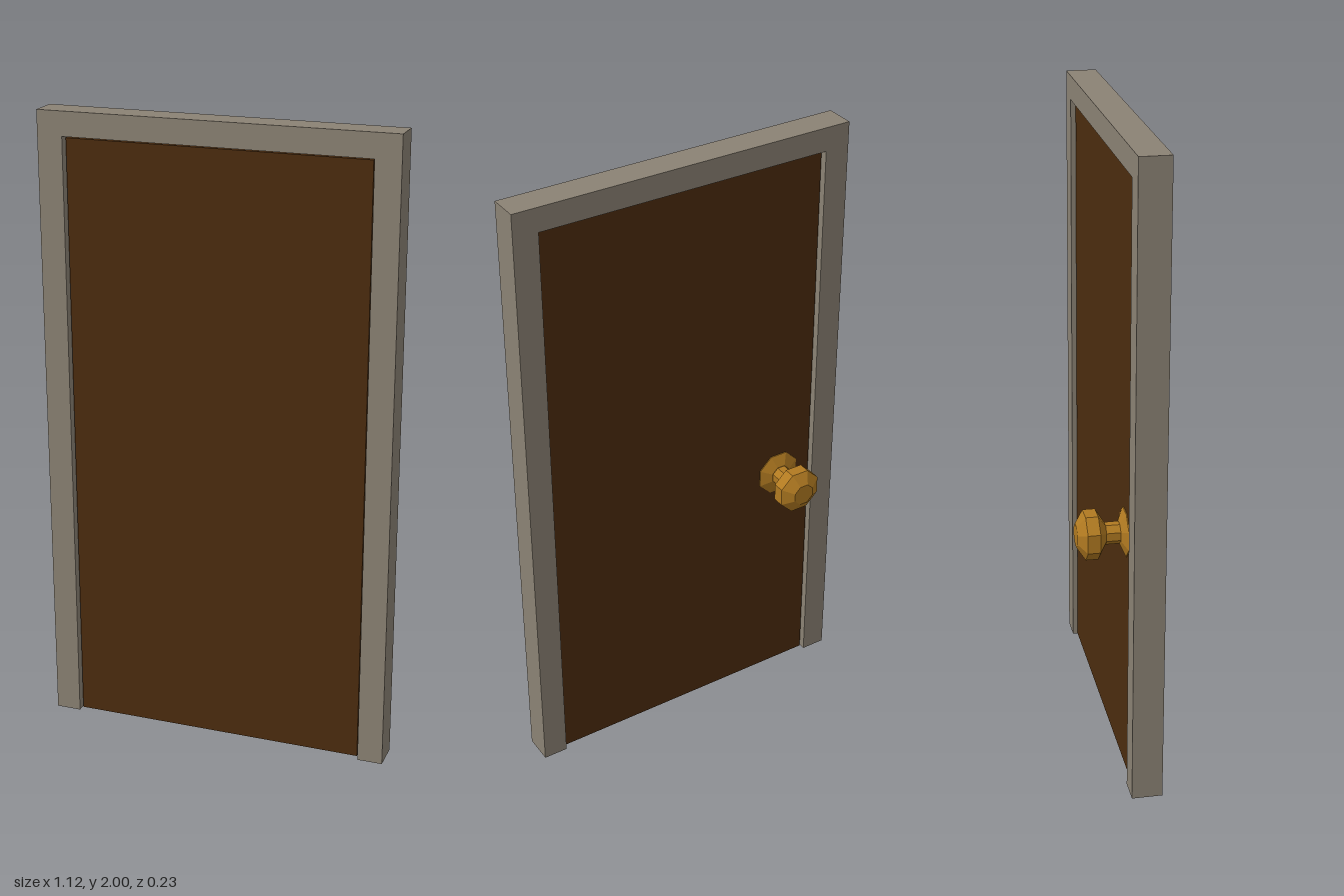
import * as THREE from 'three';

const W = 0.56, H = 2, JAMB = 0.08;      // frame half width, height, face width
const BACK = 0.02, FRONT = 0.115;        // frame depth range

function mat(name, color, flatShading = false) {
  const m = new THREE.MeshStandardMaterial({ color, flatShading });
  m.name = name;
  return m;
}

export function createModel() {
  const group = new THREE.Group();
  group.name = 'door';
  const stone = mat('warm grey paint', 0x8b8274);
  const wood = mat('dark brown wood', 0x4c2c0e);
  const brass = mat('aged brass', 0xb17a21, true);

  const add = (name, geometry, material, parent = group) => {
    const mesh = new THREE.Mesh(geometry, material);
    mesh.name = name;
    parent.add(mesh);
    return mesh;
  };

  // Door frame: one upside-down U, open at the floor
  const ix = W - JAMB, iy = H - 0.076;
  const outline = new THREE.Shape([
    [-W, 0], [-ix, 0], [-ix, iy], [ix, iy], [ix, 0], [W, 0], [W, H], [-W, H],
  ].map(([x, y]) => new THREE.Vector2(x, y)));
  const frame = new THREE.ExtrudeGeometry(outline, { depth: FRONT - BACK, bevelEnabled: false });
  add('frame', frame, stone).position.z = BACK;

  // Door leaf, slightly recessed on both sides with a thin gap around it
  const gap = 0.006, inset = 0.015, bottom = 0.004;
  const leafH = iy - gap - bottom;
  const leaf = add('doorLeaf',
    new THREE.BoxGeometry(2 * (ix - gap), leafH, FRONT - BACK - 2 * inset), wood);
  leaf.position.set(0, bottom + leafH / 2, (FRONT + BACK) / 2);

  // Eight-sided knob on the back; radii are measured to the flats
  const knob = new THREE.Group();
  knob.name = 'knob';
  knob.position.set(-0.353, 0.805, 0);
  group.add(knob);
  const turned = (name, profile) => {
    const pts = profile.map(([r, d]) => new THREE.Vector2(r / Math.cos(Math.PI / 8), d));
    const g = new THREE.LatheGeometry(pts, 8, Math.PI / 8);
    g.rotateX(-Math.PI / 2);             // profile distance runs toward -z
    add(name, g, brass, knob);
  };
  turned('rosette', [[0, -0.04], [0.07, -0.04], [0.07, -0.032], [0.035, -0.016], [0, -0.016]]);
  turned('neck', [[0.031, -0.02], [0.031, 0.03]]);
  turned('handle', [[0, 0.027], [0.031, 0.027], [0.07, 0.052], [0.07, 0.09], [0.034, 0.115], [0, 0.115]]);

  return group;
}
